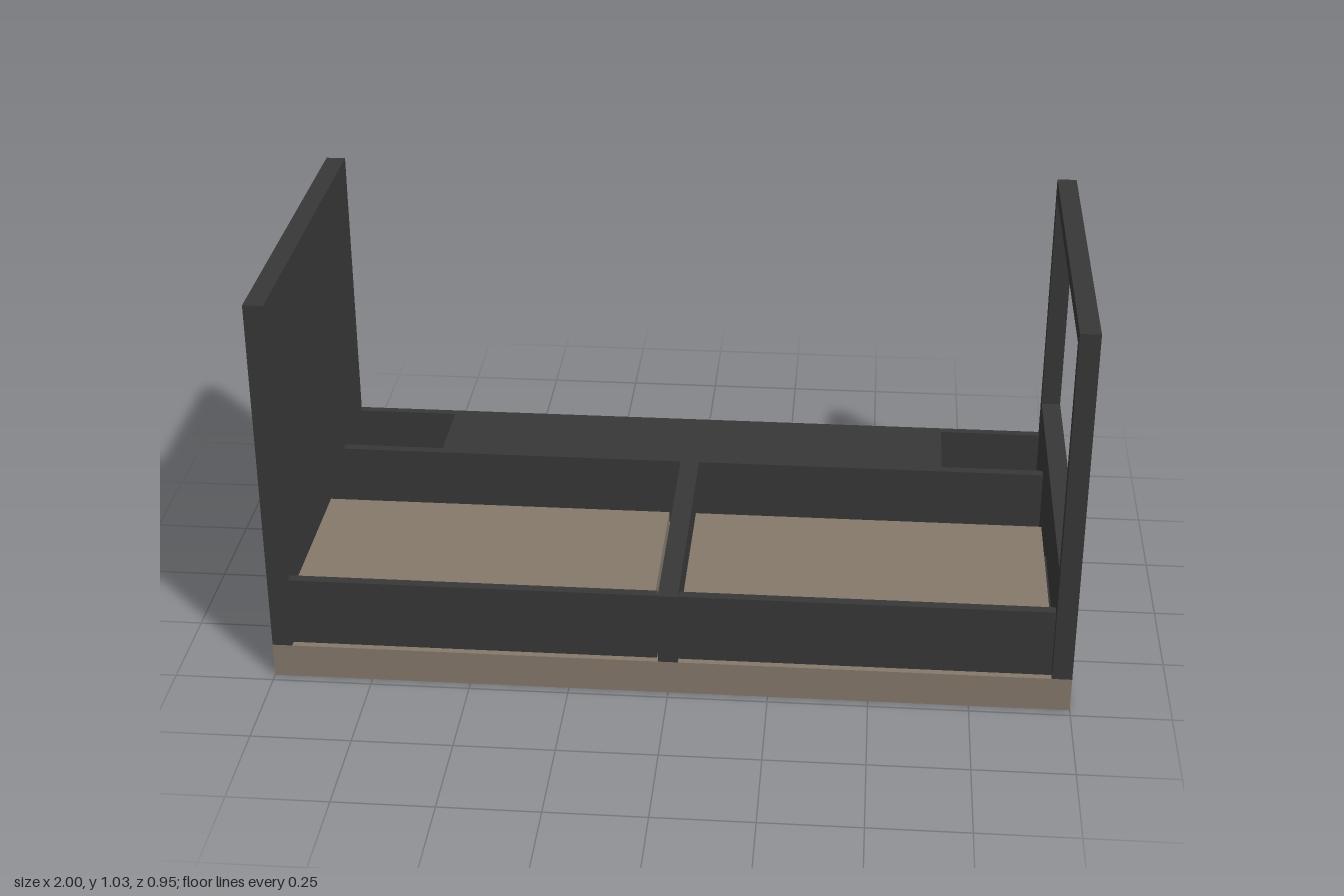
import * as THREE from 'three';

const dark = new THREE.MeshStandardMaterial({ color: 0x383838 });
const wood = new THREE.MeshStandardMaterial({ color: 0x85796a });

// Box given by its [min, max] extents on each axis
function box(name, material, [x0, x1], [y0, y1], [z0, z1]) {
  const mesh = new THREE.Mesh(new THREE.BoxGeometry(x1 - x0, y1 - y0, z1 - z0), material);
  mesh.position.set((x0 + x1) / 2, (y0 + y1) / 2, (z0 + z1) / 2);
  mesh.name = name;
  return mesh;
}

function rectangle(path, w, y0, y1) {
  return path.moveTo(-w, y0).lineTo(w, y0).lineTo(w, y1).lineTo(-w, y1).closePath();
}

export function createModel() {
  const model = new THREE.Group();
  model.name = 'storageBedBase';
  const D = 0.477, floor = 0.09, rim = 0.28, depth = [-D, D];
  const add = (...args) => model.add(box(...args));

  // Mattress-like slab underneath and the two ends
  add('baseSlab', wood, [-1, 1], [0, floor], depth);
  add('solidEndPanel', dark, [-1, -0.95], [floor, 1.03], depth);
  add('lowEndPanel', dark, [0.95, 1], [floor, 0.35], depth);

  // Open frame standing on the low end panel
  const outline = rectangle(new THREE.Shape(), D, 0.35, 1.03);
  outline.holes.push(rectangle(new THREE.Path(), 0.443, 0.385, 0.993));
  const frame = new THREE.Mesh(
    new THREE.ExtrudeGeometry(outline, { depth: 0.05, bevelEnabled: false }), dark);
  frame.rotation.y = Math.PI / 2;
  frame.position.x = 0.95;
  frame.name = 'openEndFrame';
  model.add(frame);

  // Long walls, divider and the lid over the rear trough
  add('backPanel', dark, [-0.95, 0.95], [floor, rim], [-D, -0.455]);
  add('innerPartition', dark, [-0.95, 0.95], [floor, rim], [-0.25, -0.225]);
  add('centreDivider', dark, [-0.025, 0.025], [floor, rim], [-0.225, D]);
  add('troughLid', dark, [-0.68, 0.68], [0.255, rim], [-0.455, -0.25]);

  // Two drawers with front panels and side runners
  for (const side of [-1, 1]) {
    const span = (a, b) => (side > 0 ? [a, b] : [-b, -a]);
    const drawer = new THREE.Group();
    drawer.name = side > 0 ? 'leftDrawer' : 'rightDrawer';
    drawer.add(
      box('drawerBox', wood, span(0.035, 0.935), [0.1, 0.26], [0.02, 0.45]),
      box('drawerFront', dark, span(0.027, 0.948), [0.1, rim], [0.45, 0.475]),
      box('innerRunner', dark, span(0.025, 0.035), [0.15, 0.19], [0.05, 0.425]),
      box('outerRunner', dark, span(0.935, 0.95), [0.15, 0.19], [0.05, 0.425]));
    model.add(drawer);
  }
  return model;
}
